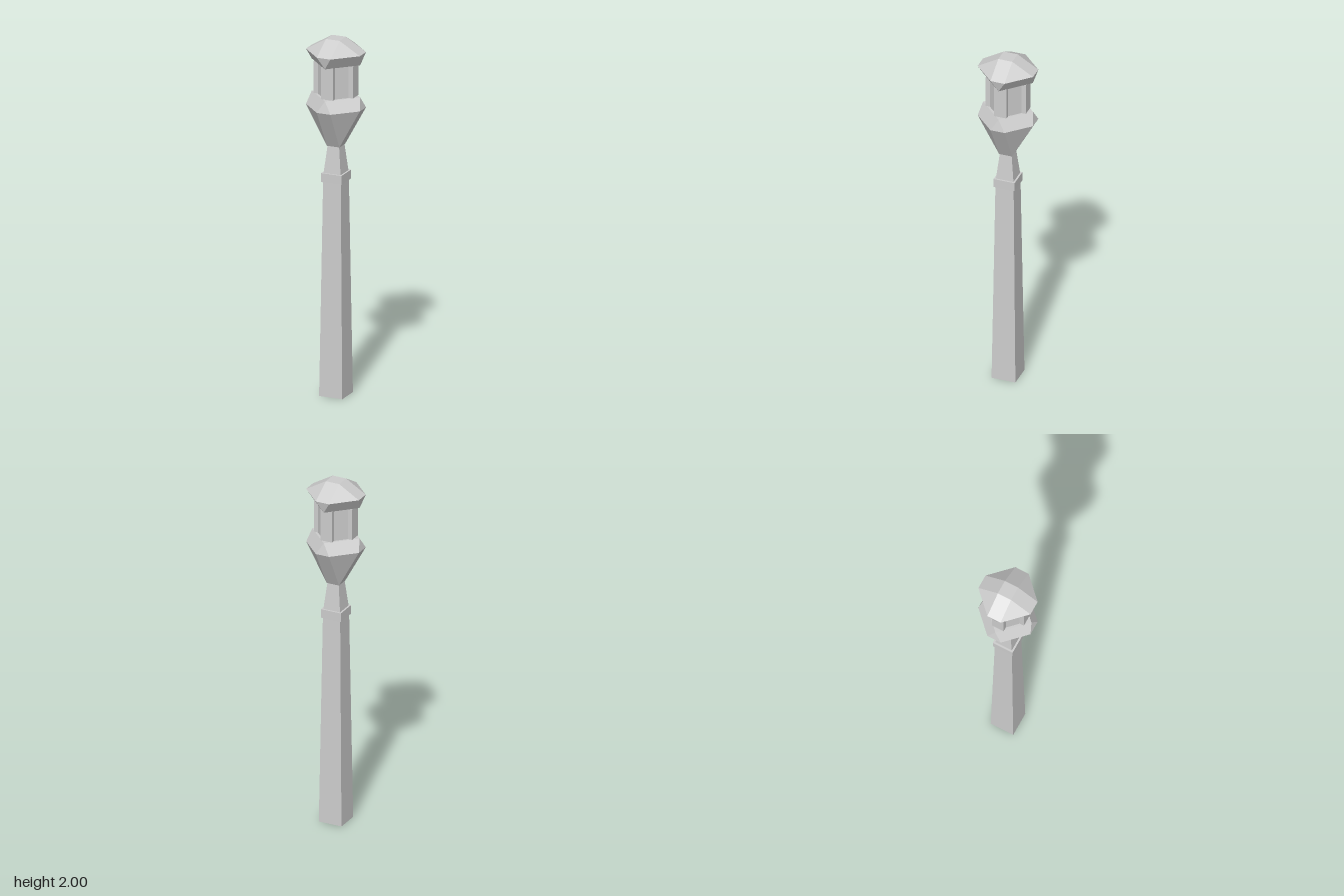
import * as THREE from 'three';

const grey = new THREE.MeshStandardMaterial({ color: 0xcccccc, flatShading: true });

// Eight-point ring: a == b gives a square, b == 0 a diamond, otherwise a cut-corner octagon
function ring([y, a, b]) {
  return [[a, b], [b, a], [-b, a], [-a, b], [-a, -b], [-b, -a], [b, -a], [a, -b]]
    .map(([x, z]) => new THREE.Vector3(x, y, z));
}

// Closed faceted solid through a stack of rings, listed from bottom to top
function loft(name, levels) {
  const rings = levels.map(ring);
  const points = [];
  const tri = (...corners) => {
    if (new THREE.Triangle(...corners).getArea() > 1e-7) points.push(...corners);
  };
  for (let r = 0; r < rings.length - 1; r++) {
    const lo = rings[r], up = rings[r + 1];
    for (let i = 0; i < 8; i++) {
      const j = (i + 1) % 8;
      tri(lo[i], up[i], lo[j]);
      tri(lo[j], up[i], up[j]);
    }
  }
  const bottom = rings[0], top = rings[rings.length - 1];
  for (let i = 1; i < 7; i++) {
    tri(bottom[0], bottom[i], bottom[i + 1]);
    tri(top[0], top[i + 1], top[i]);
  }
  const geometry = new THREE.BufferGeometry().setFromPoints(points);
  geometry.computeVertexNormals();
  const mesh = new THREE.Mesh(geometry, grey);
  mesh.name = name;
  return mesh;
}

export function createModel() {
  const model = new THREE.Group();
  model.name = 'lampPost';

  // Tapered square post, collar and neck
  model.add(loft('shaft', [[0, 0.068, 0.068], [1.2, 0.052, 0.052]]));
  model.add(loft('collar', [[1.2, 0.06, 0.06], [1.25, 0.06, 0.06]]));
  model.add(loft('neck', [[1.25, 0.05, 0.05], [1.4, 0.034, 0.034]]));

  // Flared lamp base: square foot, octagonal waist, diamond rim
  model.add(loft('lampBase', [[1.4, 0.037, 0.037], [1.62, 0.158, 0.04], [1.685, 0.142, 0]]));

  // Glass core with slanted panes
  model.add(loft('glass', [[1.685, 0.09, 0.035], [1.865, 0.09, 0.035]]));

  // Upright bars on the four sides
  const barGeometry = new THREE.BoxGeometry(0.07, 0.18, 0.028);
  for (let i = 0; i < 4; i++) {
    const angle = i * Math.PI / 2;
    const bar = new THREE.Mesh(barGeometry, grey);
    bar.name = 'lanternBar';
    bar.position.set(Math.sin(angle) * 0.101, 1.775, Math.cos(angle) * 0.101);
    bar.rotation.y = angle;
    model.add(bar);
  }

  // Roof mirrors the base with a shallower slope
  model.add(loft('roof', [[1.865, 0.142, 0], [1.93, 0.158, 0.04], [2, 0.04, 0.04]]));
  return model;
}
